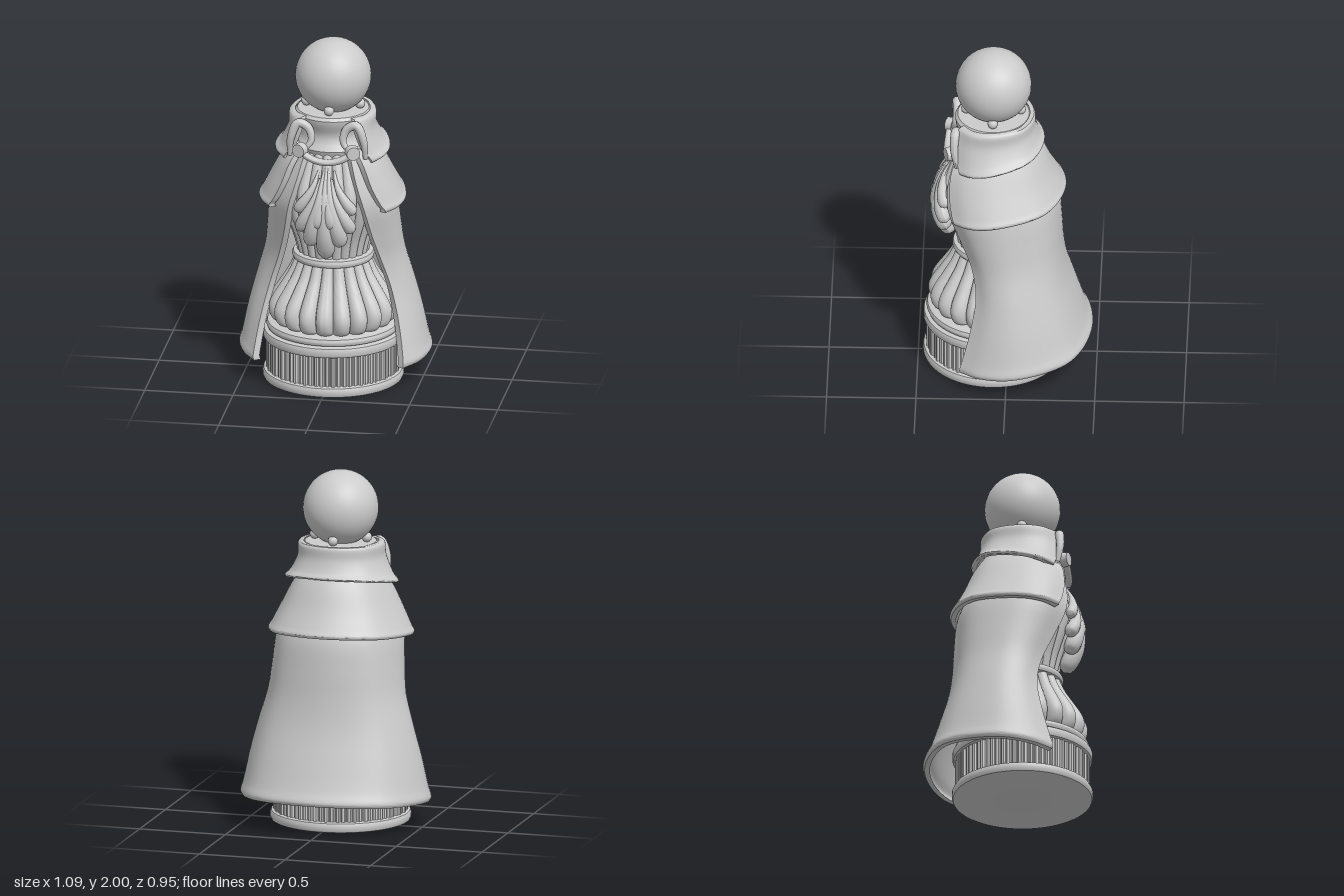
import * as THREE from 'three';
import { mergeVertices, toCreasedNormals } from 'three/addons/utils/BufferGeometryUtils.js';

const AXIS_Z = 0.08; // the pawn stands a little in front of the cloak's centre
const mat = new THREE.MeshStandardMaterial({ color: 0xcccccc, side: THREE.DoubleSide });
const v3 = (x, y, z) => new THREE.Vector3(x, y, z);

function add(parent, name, geo, x = 0, y = 0, z = 0) {
  const m = new THREE.Mesh(geo, mat);
  m.name = name;
  m.position.set(x, y, z);
  parent.add(m);
  return m;
}

function smooth(geo, crease) {
  geo.deleteAttribute('uv');
  geo.deleteAttribute('normal');
  return toCreasedNormals(mergeVertices(geo, 1e-5), crease);
}

// Turned part; flute(angle, y) scales the radius to carve grooves.
function turned(profile, segments, flute, curved) {
  let pts = profile.map(([r, y]) => new THREE.Vector2(r, y));
  if (curved) pts = new THREE.SplineCurve(pts).getPoints(28);
  const geo = new THREE.LatheGeometry(pts, segments);
  if (flute) {
    const p = geo.attributes.position;
    for (let i = 0; i < p.count; i++) {
      const x = p.getX(i), z = p.getZ(i), k = flute(Math.atan2(x, z), p.getY(i));
      p.setXYZ(i, x * k, p.getY(i), z * k);
    }
  }
  return smooth(geo, 0.7);
}

// Round-edged disc profile between two heights
const band = (r, y0, y1, b = 0.015) => [
  [0, y0], [r - b, y0], [r - b * 0.3, y0 + b * 0.3], [r, y0 + b],
  [r, y1 - b], [r - b * 0.3, y1 - b * 0.3], [r - b, y1], [0, y1]];

// Tube whose thickness follows radius(t)
function taperedTube(points, radius, segs = 24, sides = 12) {
  const curve = new THREE.CatmullRomCurve3(points);
  const geo = new THREE.TubeGeometry(curve, segs, 1, sides);
  const p = geo.attributes.position, v = v3(0, 0, 0);
  for (let i = 0; i < p.count; i++) {
    const t = Math.floor(i / (sides + 1)) / segs, c = curve.getPointAt(t);
    v.fromBufferAttribute(p, i).sub(c).multiplyScalar(radius(t)).add(c);
    p.setXYZ(i, v.x, v.y, v.z);
  }
  geo.computeVertexNormals();
  return geo;
}

// Open-fronted cloth layer. Each row from top to hem:
// [y at back, half width, z of widest point, z of back, x and z of front edge, front drop]
function cloth(rows, thick, cols = 56, levels = 36) {
  const sections = rows.map(([y, w, zs, zb, xe, ze, drop]) => {
    const half = [[xe, ze], [xe + (w - xe) * 0.75, zs + (ze - zs) * 0.62], [w, zs],
      [w * 0.72, zs - (zs - zb) * 0.72]];
    const all = [...half.map(([x, z]) => [-x, z]), [0, zb], ...half.reverse()];
    const c = new THREE.CatmullRomCurve3(all.map(([x, z]) =>
      v3(x, y - drop * (z - zb) / (ze - zb), z)), false, 'centripetal');
    return c.getSpacedPoints(cols);
  });
  const columns = [];
  for (let i = 0; i <= cols; i++)
    columns.push(new THREE.CatmullRomCurve3(sections.map(s => s[i]), false, 'centripetal').getPoints(levels));
  const n = 2 * (cols + 1), pos = [], idx = [];
  for (let j = 0; j <= levels; j++) {
    const outer = columns.map(c => c[j]);
    const inner = outer.map((p, i) => {
      const a = outer[Math.max(i - 1, 0)], b = outer[Math.min(i + 1, cols)];
      const d = v3(-(b.z - a.z), 0, b.x - a.x).normalize();
      const edge = Math.abs(i / cols * 2 - 1) ** 12; // thicker rolled front edge
      return p.clone().addScaledVector(d, thick * (1 + 0.4 * edge));
    });
    for (const p of [...outer, ...inner.reverse()]) pos.push(p.x, p.y, p.z);
  }
  for (let j = 0; j < levels; j++)
    for (let i = 0; i < n; i++) {
      const a = j * n + i, c = j * n + (i + 1) % n;
      idx.push(a, c, a + n, c, c + n, a + n);
    }
  const last = levels * n;
  for (let i = 0; i < cols; i++) {
    const a = i, b = i + 1, c = n - 1 - i, d = n - 2 - i;
    idx.push(a, c, b, c, d, b);
    idx.push(last + a, last + b, last + c, last + c, last + b, last + d);
  }
  const geo = new THREE.BufferGeometry();
  geo.setAttribute('position', new THREE.Float32BufferAttribute(pos, 3));
  geo.setIndex(idx);
  return toCreasedNormals(geo, 0.8);
}

export function createModel() {
  const root = new THREE.Group();
  root.name = 'cloakedPawn';
  const pawn = new THREE.Group();
  pawn.name = 'pawn';
  pawn.position.z = AXIS_Z;
  root.add(pawn);

  // Base: foot, ribbed drum and rings
  add(pawn, 'foot', turned(band(0.395, 0, 0.062, 0.02), 72));
  add(pawn, 'ribbedDrum', turned([[0.375, 0.055], [0.375, 0.24]], 360,
    a => 1 - 0.03 * (Math.sin(a * 72) > 0.45 ? 1 : 0) - 0.008 * Math.sin(a * 29)));
  add(pawn, 'drumRing', turned(band(0.392, 0.235, 0.295), 72));
  add(pawn, 'upperRing', turned(band(0.375, 0.295, 0.345, 0.022), 72));

  // Fluted bulb, waist ring and fluted vase
  const lobes = (count, depth) => a => 1 - depth * (1 - Math.abs(Math.cos(a * count / 2)) ** 0.6);
  add(pawn, 'flutedBulb', turned([[0.3, 0.335], [0.345, 0.36], [0.365, 0.42], [0.35, 0.48],
    [0.3, 0.56], [0.25, 0.64], [0.215, 0.72]], 240, lobes(20, 0.13), true));
  add(pawn, 'waistRing', turned(band(0.23, 0.708, 0.757, 0.02), 64));
  add(pawn, 'flutedVase', turned([[0.2, 0.75], [0.225, 0.85], [0.28, 1.0], [0.3, 1.13],
    [0.25, 1.28], [0.2, 1.4]], 240, lobes(24, 0.08), true));

  // Neck, beads and head
  add(pawn, 'neck', turned([[0.2, 1.36], [0.215, 1.4], [0.195, 1.43], [0.18, 1.46], [0.185, 1.51],
    [0.21, 1.54], [0.215, 1.58], [0.2, 1.597], [0, 1.6]], 64));
  for (let i = 0; i < 4; i++) {
    const a = i * Math.PI / 2;
    add(pawn, 'neckBead', new THREE.SphereGeometry(0.029, 16, 12), 0.152 * Math.sin(a), 1.625, 0.152 * Math.cos(a));
  }
  add(pawn, 'head', new THREE.SphereGeometry(0.213, 40, 28), 0, 1.787, 0);

  // Fan of teardrop leaf lobes: [end angle, end y, start angle, start y, radius]
  const leaf = new THREE.Group();
  leaf.name = 'leafOrnament';
  pawn.add(leaf);
  const onVase = (a, y) => {
    const r = 0.315 - 1.2 * (y - 1.05) ** 2;
    return v3(r * Math.sin(a), y, r * Math.cos(a));
  };
  const addLobe = (a1, y1, a0, y0, r) => {
    const pts = [0, 0.35, 0.7, 1].map(t => onVase(a0 + (a1 - a0) * t ** 1.7, y0 + (y1 - y0) * t));
    add(leaf, 'leafLobe', taperedTube(pts, t => r * Math.sqrt(Math.max(0, 1 - t ** 10)) *
      (0.12 + 0.88 * t ** 1.1) + 1e-4));
  };
  addLobe(0, 0.785, 0, 1.32, 0.068);
  for (const s of [1, -1]) {
    addLobe(s * 0.33, 0.865, s * 0.05, 1.3, 0.062);
    addLobe(s * 0.53, 0.95, s * 0.12, 1.26, 0.05);
    addLobe(s * 0.56, 1.06, s * 0.18, 1.3, 0.042);
    addLobe(s * 0.15, 0.98, s * 0.03, 1.24, 0.056);
  }

  // Cloak layers
  add(root, 'cloak', cloth([
    [1.40, 0.22, 0.08, -0.13, 0.13, 0.29, 0.02],
    [1.25, 0.30, 0.08, -0.21, 0.17, 0.33, 0.02],
    [1.10, 0.355, 0.05, -0.285, 0.215, 0.33, 0.02],
    [0.92, 0.375, 0.01, -0.305, 0.25, 0.26, 0.02],
    [0.76, 0.395, -0.02, -0.315, 0.29, 0.195, 0.02],
    [0.60, 0.44, -0.04, -0.34, 0.34, 0.17, 0.02],
    [0.42, 0.49, -0.05, -0.395, 0.39, 0.20, 0.04],
    [0.26, 0.525, -0.06, -0.45, 0.42, 0.245, 0.06],
    [0.205, 0.54, -0.06, -0.477, 0.425, 0.26, 0.06],
    [0.185, 0.53, -0.06, -0.468, 0.42, 0.258, 0.06]], 0.03));
  add(root, 'mantle', cloth([
    [1.47, 0.22, 0.08, -0.14, 0.16, 0.27, 0.06],
    [1.38, 0.275, 0.08, -0.20, 0.21, 0.31, 0.05],
    [1.25, 0.345, 0.08, -0.26, 0.26, 0.32, 0.05],
    [1.16, 0.395, 0.07, -0.31, 0.31, 0.305, 0.06],
    [1.13, 0.412, 0.07, -0.328, 0.33, 0.295, 0.06],
    [1.115, 0.403, 0.07, -0.32, 0.325, 0.29, 0.06]], 0.028));
  add(root, 'collar', cloth([
    [1.602, 0.232, 0.075, -0.148, 0.15, 0.265, 0.01],
    [1.59, 0.242, 0.075, -0.155, 0.155, 0.275, 0.01],
    [1.53, 0.245, 0.075, -0.158, 0.18, 0.285, 0.03],
    [1.46, 0.29, 0.075, -0.185, 0.225, 0.275, 0.07],
    [1.435, 0.322, 0.075, -0.207, 0.25, 0.265, 0.085],
    [1.425, 0.315, 0.075, -0.2, 0.247, 0.26, 0.085]], 0.024, 56, 24));

  // Curled lapels with round clasps
  for (const s of [1, -1]) {
    const path = [[0.215, 1.37, 0.28], [0.205, 1.48, 0.295], [0.165, 1.565, 0.29], [0.11, 1.54, 0.285],
      [0.09, 1.47, 0.295], [0.13, 1.41, 0.31]].map(([x, y, z]) => v3(s * x, y, z));
    add(root, 'lapelCurl', taperedTube(path, t => 0.013 + 0.012 * Math.sin(Math.PI * t), 32));
    const clasp = add(root, 'clasp', new THREE.CylinderGeometry(0.038, 0.042, 0.04, 24), s * 0.15, 1.415, 0.325);
    clasp.rotation.set(Math.PI / 2, 0, -s * 0.4);
  }

  // Cord hanging between the clasps
  add(root, 'cord', taperedTube([v3(-0.15, 1.41, 0.325), v3(-0.08, 1.37, 0.335), v3(0, 1.355, 0.34),
    v3(0.08, 1.37, 0.335), v3(0.15, 1.41, 0.325)], () => 0.02, 32));
  return root;
}
